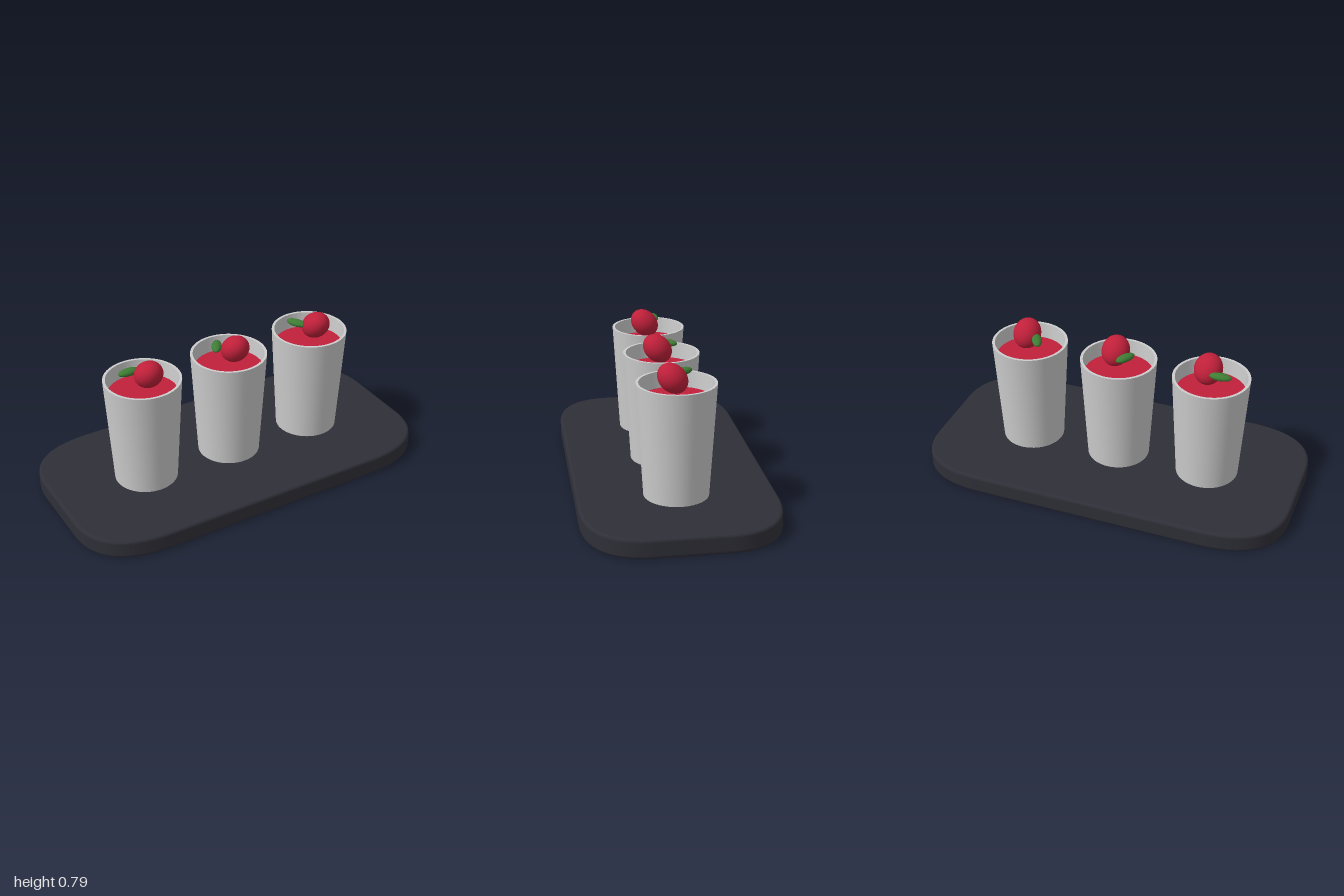
import * as THREE from 'three';
import { toCreasedNormals } from 'three/addons/utils/BufferGeometryUtils.js';

function material(name, color) {
  const m = new THREE.MeshStandardMaterial({ color });
  m.name = name;
  return m;
}

function part(parent, name, geometry, mat) {
  const mesh = new THREE.Mesh(geometry, mat);
  mesh.name = name;
  parent.add(mesh);
  return mesh;
}

// Slab with broad soft corners and a small rounded edge
function trayGeometry(bevel) {
  const x = 1 - bevel, z = 0.5 - bevel, cx = 0.6, cz = 0.18;
  const s = new THREE.Shape();
  s.moveTo(-cx, -z);
  s.lineTo(cx, -z);
  s.quadraticCurveTo(x, -z, x, -cz);
  s.lineTo(x, cz);
  s.quadraticCurveTo(x, z, cx, z);
  s.lineTo(-cx, z);
  s.quadraticCurveTo(-x, z, -x, cz);
  s.lineTo(-x, -cz);
  s.quadraticCurveTo(-x, -z, -cx, -z);
  const g = new THREE.ExtrudeGeometry(s, {
    depth: 0.1 - 2 * bevel, bevelSize: bevel, bevelThickness: bevel,
    bevelSegments: 4, curveSegments: 24,
  });
  g.rotateX(-Math.PI / 2).translate(0, bevel, 0);
  return toCreasedNormals(g, 0.18);
}

// Tapered tumbler with a wall, open at the top
function cupGeometry() {
  const profile = [[0, 0.1], [0.165, 0.1], [0.2, 0.685], [0.186, 0.685], [0.153, 0.12], [0, 0.12]]
    .map(([r, y]) => new THREE.Vector2(r, y));
  return toCreasedNormals(new THREE.LatheGeometry(profile, 48).toNonIndexed(), 0.5);
}

export function createModel() {
  const model = new THREE.Group();
  model.name = 'servedDesserts';
  const slate = material('slate', 0x2f2f38);
  const glass = material('glass', 0xcccccc);
  const red = material('berryRed', 0xc0203a);
  const green = material('leafGreen', 0x3f7d35);

  part(model, 'tray', trayGeometry(0.016), slate);

  const cup = cupGeometry();
  const filling = new THREE.CylinderGeometry(0.181, 0.153, 0.48, 48).translate(0, 0.361, 0);
  const ball = new THREE.SphereGeometry(1, 32, 20);

  // Cup position, leaf offset and leaf direction
  const servings = [
    { x: -0.5, leafX: -0.055, turn: 0.03 },
    { x: 0, leafX: -0.05, turn: 1.02 },
    { x: 0.5, leafX: -0.057, turn: -1.08 },
  ];
  for (const { x, leafX, turn } of servings) {
    const dessert = new THREE.Group();
    dessert.name = 'dessert';
    dessert.position.x = x;
    model.add(dessert);

    part(dessert, 'cup', cup, glass);
    part(dessert, 'filling', filling, red);

    // Slightly elongated berry leaning forward
    const berry = part(dessert, 'berry', ball, red);
    berry.scale.set(0.074, 0.083, 0.067);
    berry.rotation.x = Math.PI / 4;
    berry.position.set(0.025, 0.714, 0.024);

    const leaf = part(dessert, 'leaf', ball, green);
    leaf.scale.set(0.058, 0.019, 0.026);
    leaf.rotation.y = turn;
    leaf.position.set(leafX, 0.72, -0.037);
  }
  return model;
}
